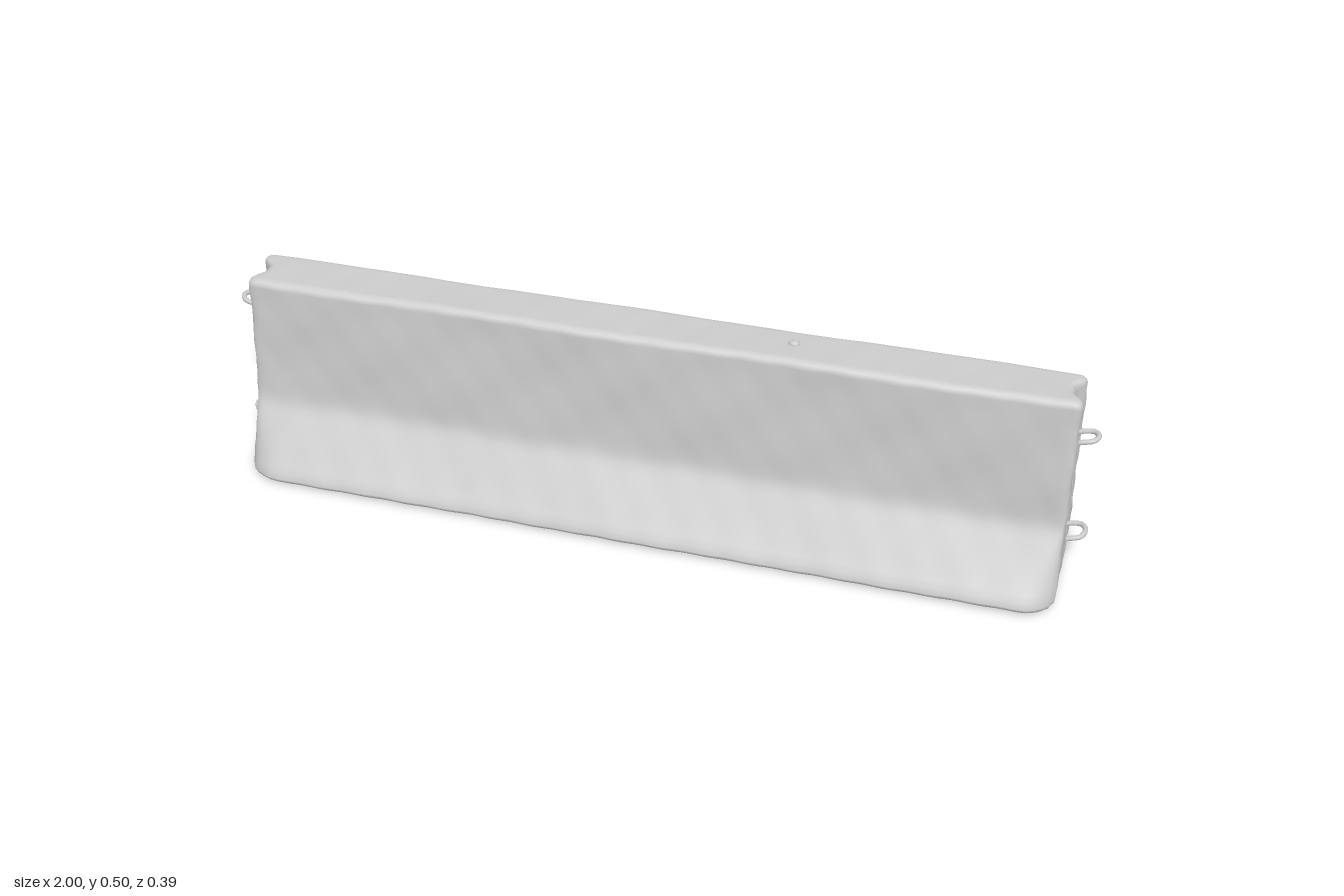
import * as THREE from 'three';
import { mergeVertices } from 'three/addons/utils/BufferGeometryUtils.js';

const { clamp, smoothstep, lerp } = THREE.MathUtils;
const material = new THREE.MeshStandardMaterial({ color: 0xcccccc, roughness: 0.9 });

const HALF_LENGTH = 0.953, BOTTOM = 0.006, TOP = 0.496, EDGE = 0.018;

// Half width of the barrier against height: [y, halfWidth]
const PROFILE = [
  [0, 0.19], [0.03, 0.194], [0.06, 0.17], [0.11, 0.134], [0.165, 0.095], [0.18, 0.088],
  [0.2, 0.084], [0.24, 0.081], [0.34, 0.074], [0.44, 0.067], [0.5, 0.064],
];

function halfWidth(y) {
  for (let i = 1; i < PROFILE.length; i++) {
    const [y0, w0] = PROFILE[i - 1], [y1, w1] = PROFILE[i];
    if (y <= y1) return lerp(w0, w1, clamp((y - y0) / (y1 - y0), 0, 1));
  }
  return PROFILE.at(-1)[1];
}

// Stations from a to b, with extra ones inside both edge roundings
function stations(a, b, count, edge) {
  const list = [];
  const fractions = [0, 0.2, 0.4, 0.6, 0.8];
  for (const f of fractions) list.push(a + f * edge);
  for (let i = 0; i <= count; i++) list.push(lerp(a + edge, b - edge, i / count));
  for (const f of fractions.toReversed()) list.push(b - f * edge);
  return list;
}

// Gentle unevenness of worn concrete
function wobble(a, b, c) {
  return 0.5 * Math.sin(9 * a + 17 * b + c) + 0.3 * Math.sin(23 * a - 31 * b + 2 * c)
    + 0.2 * Math.sin(61 * a + 43 * b + 3 * c);
}

function createBody() {
  const xs = stations(-HALF_LENGTH, HALF_LENGTH, 90, 0.06);
  const ys = stations(BOTTOM, TOP, 32, EDGE);
  const ts = stations(-1, 1, 16, 0.28);
  const box = new THREE.BoxGeometry(1, 1, 1, xs.length - 1, ys.length - 1, ts.length - 1);
  box.deleteAttribute('normal');
  box.deleteAttribute('uv');
  const geometry = mergeVertices(box, 1e-5);
  const pos = geometry.attributes.position;
  const at = (list, u) => list[Math.round((u + 0.5) * (list.length - 1))];
  const p = new THREE.Vector3(), inner = new THREE.Vector3();

  for (let i = 0; i < pos.count; i++) {
    const x = at(xs, pos.getX(i)), y = at(ys, pos.getY(i)), t = at(ts, pos.getZ(i));
    const w = halfWidth(y);
    p.set(x, y, t * w);

    // Round every edge and corner
    inner.set(
      clamp(p.x, -HALF_LENGTH + EDGE, HALF_LENGTH - EDGE),
      clamp(p.y, BOTTOM + EDGE, TOP - EDGE),
      clamp(p.z, -w + EDGE, w - EDGE));
    p.sub(inner);
    if (p.lengthSq() > 0) p.setLength(Math.min(EDGE, Math.max(Math.abs(p.x), Math.abs(p.y), Math.abs(p.z))));
    p.add(inner);

    // Worn foot corners, drawn in towards the ends
    const foot = clamp((w - 0.085) / 0.1, 0, 1);
    const end = clamp((Math.abs(x) - 0.88) / 0.073, 0, 1);
    p.z *= 1 - 0.2 * foot * end * end;

    // Vertical groove in both end faces, fading out at the foot
    const groove = (1 - smoothstep(Math.abs(p.z), 0.012, 0.042)) * smoothstep(y, 0.03, 0.14);
    p.x -= Math.sign(x) * 0.022 * groove * smoothstep(Math.abs(x), 0.9, 0.95);

    // Uneven surface, a chip in the rear foot and a slight rise towards +x
    const side = Math.sign(t);
    p.z += side * Math.abs(t) * 0.003 * wobble(x, y, side) - 0.004;
    p.x += 0.002 * Math.sign(x) * end * wobble(p.z * 4, y * 3, 1);
    p.y += 0.002 * wobble(x, p.z, 4);
    p.y += 0.005 * x * y / TOP;
    p.z += 0.003 * x * foot;
    if (t < 0) p.z += 0.012 * Math.exp(-(((x - 0.14) / 0.04) ** 2)) * (1 - smoothstep(y, 0.03, 0.08));

    pos.setXYZ(i, p.x, p.y, p.z);
  }
  geometry.computeVertexNormals();
  return geometry;
}

// Bent steel bar standing out of an end face
function createLoop(side, y, width) {
  const path = [[0.9, -0.02, 0.7], [0.94, -0.012, 0.95], [0.965, -0.004, 1], [0.985, 0, 0.8], [0.994, 0.002, 0]];
  const arm = (s) => path.map(([x, dy, f]) => new THREE.Vector3(side * x, y + dy, s * f * width - 0.004));
  const points = [...arm(1), ...arm(-1).reverse().slice(1)];
  return new THREE.TubeGeometry(new THREE.CatmullRomCurve3(points), 40, 0.006, 10);
}

export function createModel() {
  const group = new THREE.Group();
  const add = (name, geometry) => {
    const mesh = new THREE.Mesh(geometry, material);
    mesh.name = name;
    group.add(mesh);
    return mesh;
  };

  add('concreteBody', createBody());
  add('leftUpperLoop', createLoop(1, 0.38, 0.021));
  add('leftLowerLoop', createLoop(1, 0.117, 0.028));
  add('rightUpperLoop', createLoop(-1, 0.402, 0.022));
  add('rightLowerLoop', createLoop(-1, 0.09, 0.026));

  // Small lump on the top face
  const lump = add('topLump', new THREE.SphereGeometry(0.011, 12, 8));
  lump.scale.set(1.2, 0.7, 0.9);
  lump.position.set(0.315, 0.498, -0.01);

  return group;
}
